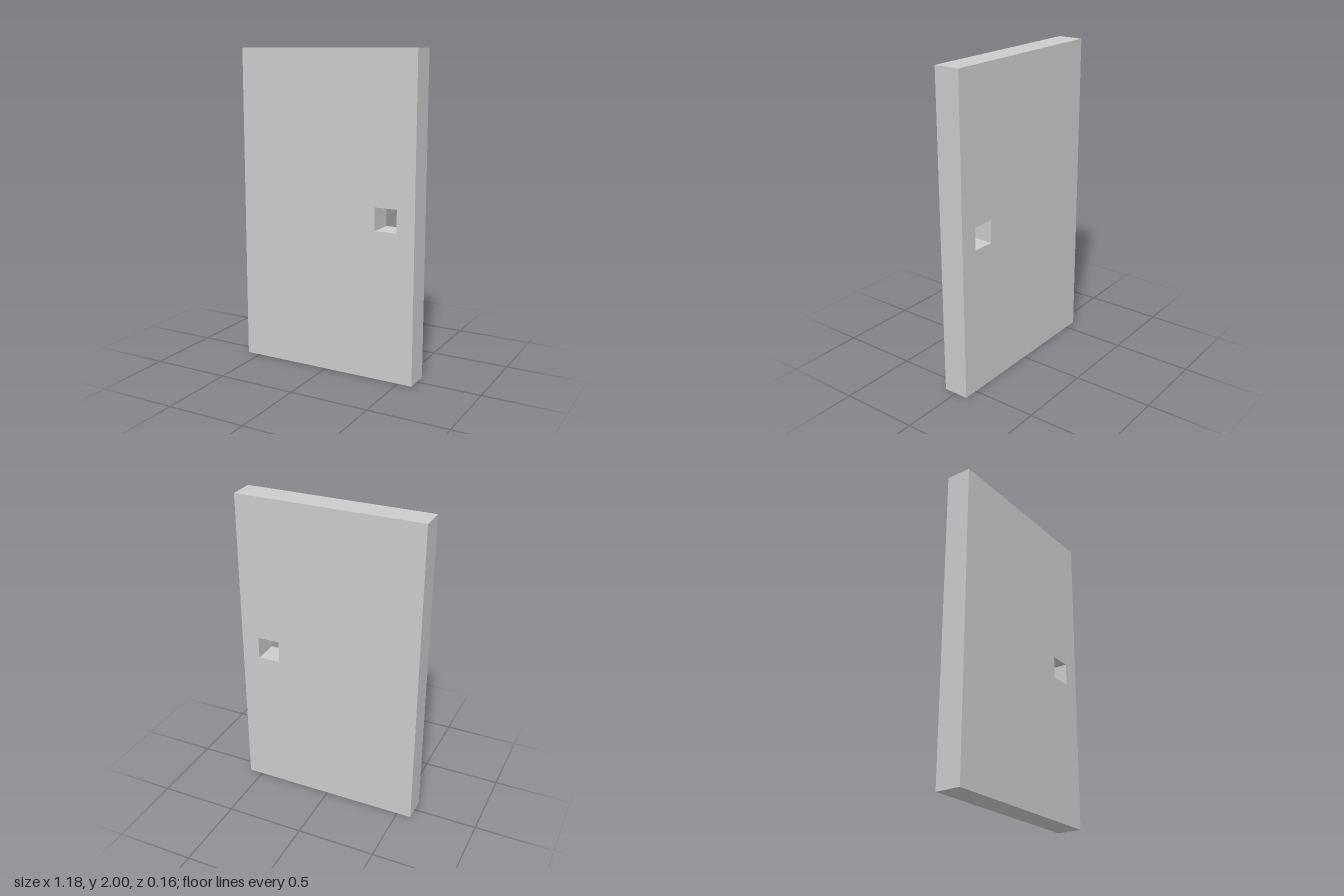
import * as THREE from 'three';

const WIDTH = 1.182, HEIGHT = 2, DEPTH = 0.163;
const HOLE = { x: 0.405, y: 1.003, size: 0.143 };

// Axis-aligned rectangle outline centred on (x, y)
function rectangle(path, x, y, w, h) {
  path.moveTo(x - w / 2, y - h / 2);
  path.lineTo(x + w / 2, y - h / 2);
  path.lineTo(x + w / 2, y + h / 2);
  path.lineTo(x - w / 2, y + h / 2);
  path.closePath();
  return path;
}

export function createModel() {
  const group = new THREE.Group();
  group.name = 'door';

  // Door slab with a square handle opening cut right through
  const outline = rectangle(new THREE.Shape(), 0, HEIGHT / 2, WIDTH, HEIGHT);
  outline.holes.push(rectangle(new THREE.Path(), HOLE.x, HOLE.y, HOLE.size, HOLE.size));
  const geometry = new THREE.ExtrudeGeometry(outline, { depth: DEPTH, bevelEnabled: false });
  geometry.translate(0, 0, -DEPTH / 2);

  const panel = new THREE.Mesh(geometry, new THREE.MeshStandardMaterial({ color: 0xcccccc, flatShading: true }));
  panel.name = 'doorPanel';
  group.add(panel);
  return group;
}
